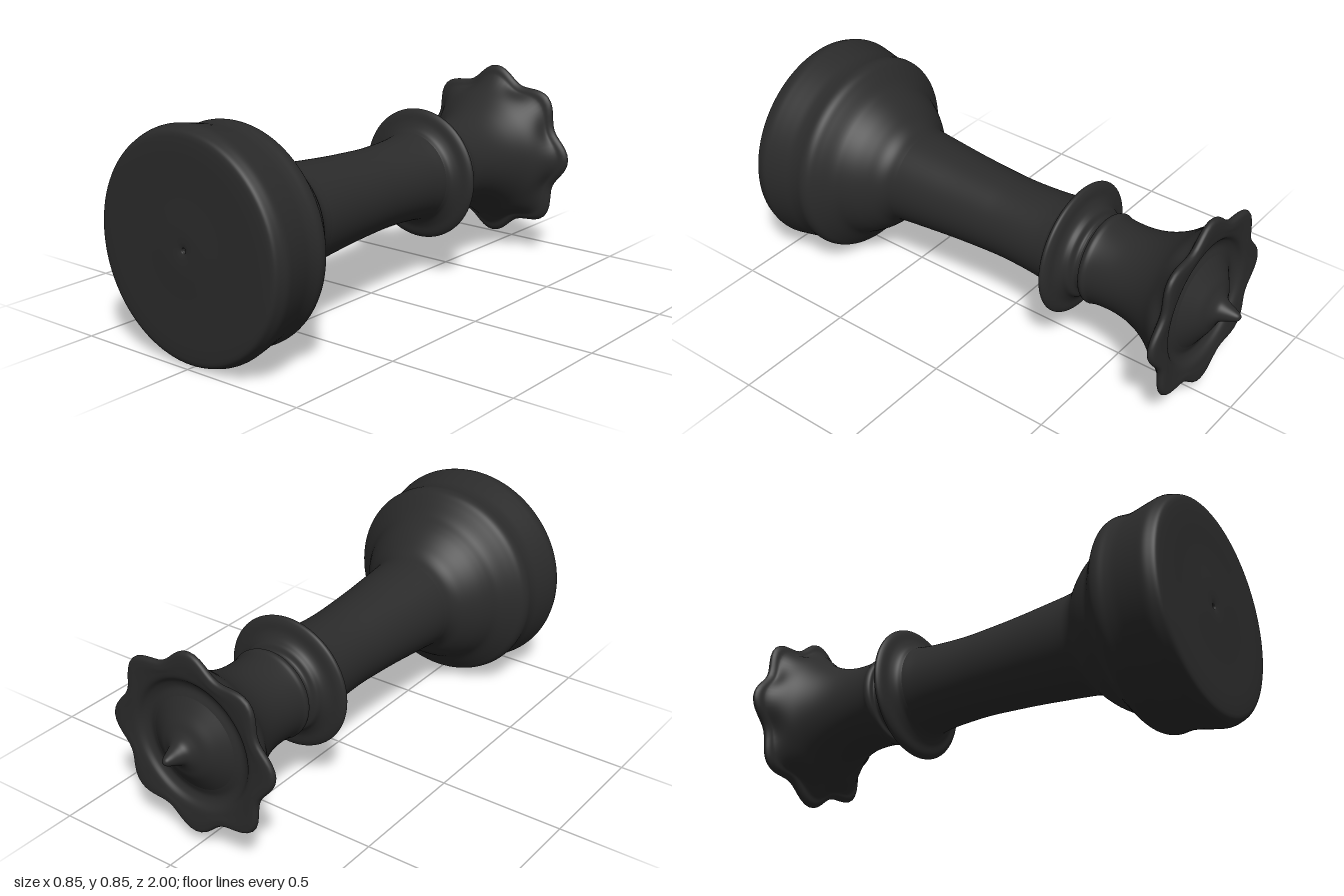
import * as THREE from 'three';
import { mergeVertices } from 'three/addons/utils/BufferGeometryUtils.js';

const AXIS_HEIGHT = 0.426;
const RADIAL = 96;
const LOBES = 8;

// Smooth profile through [radius, z] points, running from the base (+z) to the tip (-z)
function profile(points) {
  const curve = new THREE.CatmullRomCurve3(
    points.map(([r, z]) => new THREE.Vector3(r, -z, 0)), false, 'centripetal');
  return curve.getPoints((points.length - 1) * 5)
    .map((p) => new THREE.Vector2(Math.max(p.x, 0), p.y));
}

// Turned part lying along z, with an optional rule that reshapes its vertices
function turned(name, points, material, reshape) {
  let geo = new THREE.LatheGeometry(profile(points), RADIAL);
  if (reshape) reshape(geo.attributes.position);
  geo.deleteAttribute('uv');
  geo.deleteAttribute('normal');
  geo = mergeVertices(geo, 1e-5);
  geo.computeVertexNormals();
  geo.rotateX(-Math.PI / 2);
  const mesh = new THREE.Mesh(geo, material);
  mesh.name = name;
  mesh.position.y = AXIS_HEIGHT;
  return mesh;
}

// Pulls the rim inwards between the lobes
function scallop(pos) {
  for (let i = 0; i < pos.count; i++) {
    const x = pos.getX(i), z = pos.getZ(i);
    const amount = THREE.MathUtils.smoothstep(Math.hypot(x, z), 0.25, 0.35);
    const wave = (1 - Math.cos(LOBES * Math.atan2(x, z))) / 2;
    const k = 1 - 0.13 * amount * wave;
    pos.setX(i, x * k);
    pos.setZ(i, z * k);
  }
}

export function createModel() {
  const group = new THREE.Group();
  group.name = 'chessQueen';
  const dark = new THREE.MeshStandardMaterial({ color: 0x2b2b2b, side: THREE.DoubleSide });

  // Stepped base with a tiny turning mark in the underside
  group.add(turned('base', [
    [0, 0.99], [0.008, 0.99], [0.012, 1], [0.2, 1], [0.39, 0.998], [0.41, 0.99],
    [0.42, 0.97], [0.426, 0.945], [0.421, 0.91], [0.411, 0.86], [0.404, 0.82],
    [0.404, 0.79], [0.407, 0.755], [0.398, 0.73], [0.37, 0.705], [0.322, 0.665],
    [0.3, 0.63], [0.28, 0.6], [0.25, 0.565], [0.216, 0.53], [0.2, 0.5], [0.193, 0.46],
  ], dark));

  // Slender waisted stem
  group.add(turned('stem', [
    [0.193, 0.46], [0.182, 0.34], [0.172, 0.22], [0.164, 0.08], [0.161, 0],
    [0.163, -0.1], [0.17, -0.2], [0.178, -0.25],
  ], dark));

  // Thin flared collar
  group.add(turned('collar', [
    [0.178, -0.25], [0.188, -0.268], [0.215, -0.285], [0.25, -0.296], [0.264, -0.308],
    [0.262, -0.318], [0.245, -0.328], [0.21, -0.336], [0.188, -0.35], [0.175, -0.37],
    [0.153, -0.382], [0.149, -0.395],
  ], dark));

  // Neck bead and trumpet crown with a lobed rim and shallow dish
  group.add(turned('crown', [
    [0.149, -0.395], [0.153, -0.41], [0.172, -0.414], [0.18, -0.43], [0.174, -0.45],
    [0.17, -0.5], [0.172, -0.56], [0.183, -0.62], [0.205, -0.68], [0.24, -0.74],
    [0.285, -0.79], [0.325, -0.825], [0.352, -0.835], [0.365, -0.848], [0.358, -0.862],
    [0.335, -0.866], [0.29, -0.864], [0.255, -0.858], [0.235, -0.84], [0.21, -0.832],
    [0.18, -0.842],
  ], dark, scallop));

  // Domed centre rising to a pointed finial
  group.add(turned('finial', [
    [0.18, -0.842], [0.14, -0.868], [0.105, -0.89], [0.072, -0.905], [0.047, -0.922],
    [0.034, -0.945], [0.022, -0.975], [0.012, -0.993], [0, -1],
  ], dark));

  return group;
}
